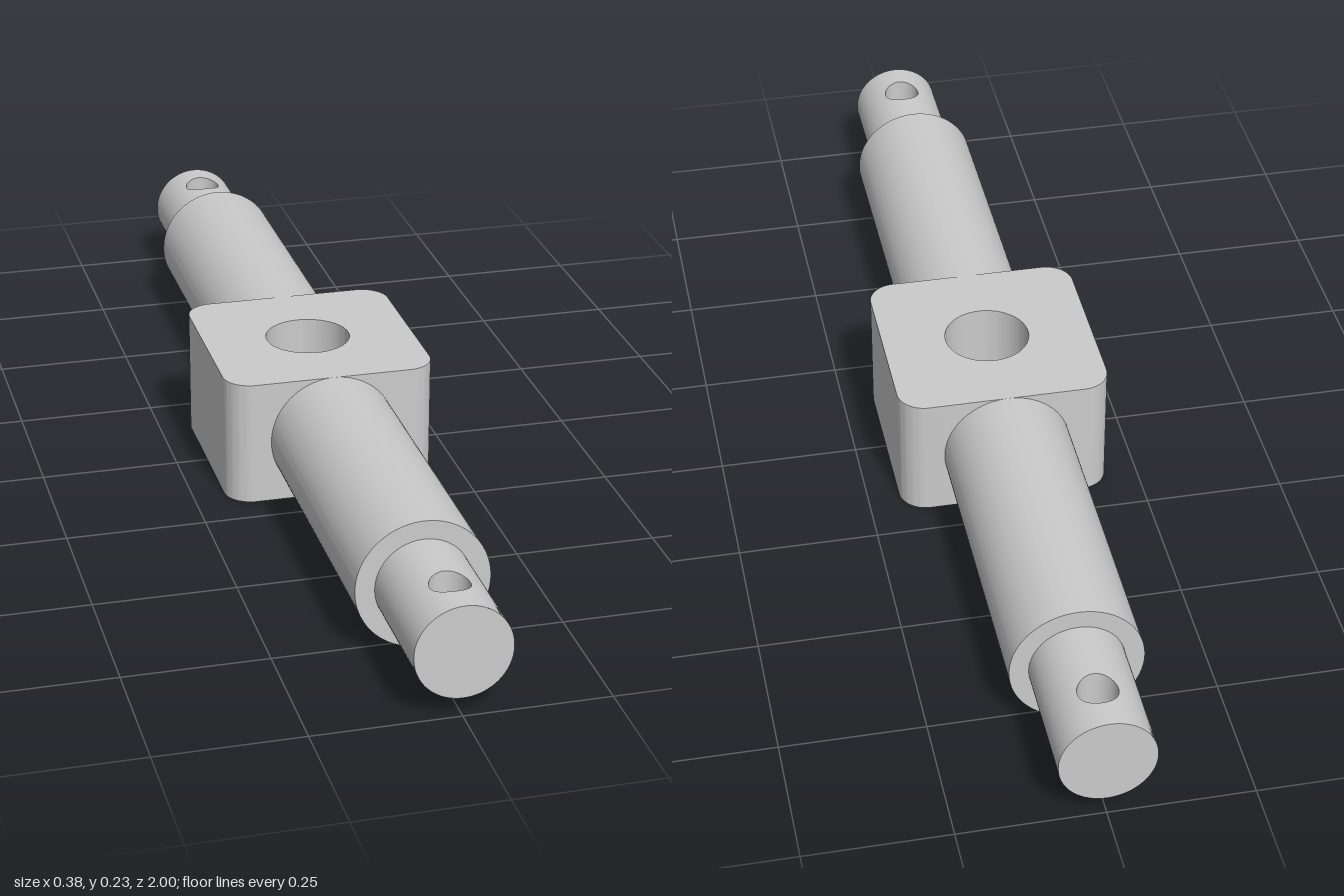
import * as THREE from 'three';
import { toCreasedNormals } from 'three/addons/utils/BufferGeometryUtils.js';
import { ParametricGeometry } from 'three/addons/geometries/ParametricGeometry.js';

const MID = 0.115;                      // height of the shaft axis
const HUB = 0.192, CORNER = 0.05, BORE = 0.077;
const SHAFT_R = 0.115, SHOULDER = 0.77;
const PIN_R = 0.082, HOLE_R = 0.034, HOLE_Z = 0.916;

export function createModel() {
  const model = new THREE.Group();
  const material = new THREE.MeshStandardMaterial({ color: 0xcccccc });
  const add = (parent, name, geometry) => {
    const mesh = new THREE.Mesh(geometry, material);
    mesh.name = name;
    parent.add(mesh);
    return mesh;
  };

  // Central block: rounded square with a vertical bore
  const s = new THREE.Shape();
  const c = HUB - CORNER;
  s.absarc(c, c, CORNER, 0, Math.PI / 2);
  s.absarc(-c, c, CORNER, Math.PI / 2, Math.PI);
  s.absarc(-c, -c, CORNER, Math.PI, Math.PI * 1.5);
  s.absarc(c, -c, CORNER, Math.PI * 1.5, Math.PI * 2);
  s.holes.push(new THREE.Path().absarc(0, 0, BORE, 0, Math.PI * 2, true));
  const block = new THREE.ExtrudeGeometry(s, { depth: MID * 2, bevelEnabled: false, curveSegments: 32 });
  block.rotateX(-Math.PI / 2);
  add(model, 'hub', toCreasedNormals(block, 0.6));

  // Shaft body with its stepped shoulder, along +z
  const profile = [[SHAFT_R, HUB - 0.01], [SHAFT_R, SHOULDER], [PIN_R - 0.005, SHOULDER]]
    .map(([r, z]) => new THREE.Vector2(r, z));
  const shaft = toCreasedNormals(new THREE.LatheGeometry(profile, 96).rotateX(Math.PI / 2), 0.6);

  // Half of the pin wall, spread from the rim of the cross hole to the pin's edges
  const midZ = (SHOULDER + 1) / 2, halfZ = (1 - SHOULDER) / 2;
  const halfWall = new ParametricGeometry((u, v, target) => {
    const a = u * Math.PI * 2, cos = Math.cos(a), sin = Math.sin(a);
    const k = 1 / Math.max(Math.abs(cos), Math.abs(sin));
    const theta = THREE.MathUtils.lerp(Math.asin(HOLE_R * cos / PIN_R), cos * k * Math.PI / 2, v);
    const z = THREE.MathUtils.lerp(HOLE_Z + HOLE_R * sin, midZ + sin * k * halfZ, v);
    target.set(PIN_R * Math.sin(theta), PIN_R * Math.cos(theta), z);
  }, 128, 14);

  // Inner wall of the cross hole, trimmed to the pin's curve
  const holeWall = new ParametricGeometry((u, v, target) => {
    const a = u * Math.PI * 2, x = HOLE_R * Math.cos(a);
    target.set(x, (2 * v - 1) * Math.sqrt(PIN_R ** 2 - x * x), HOLE_Z + HOLE_R * Math.sin(a));
  }, 128, 1);

  const cap = new THREE.CircleGeometry(PIN_R, 96).translate(0, 0, 1);

  // Two identical arms, front and back
  for (const [name, turn] of [['frontArm', 0], ['backArm', Math.PI]]) {
    const arm = new THREE.Group();
    arm.name = name;
    arm.position.y = MID;
    arm.rotation.y = turn;
    add(arm, 'shaft', shaft);
    add(arm, 'pinUpperWall', halfWall);
    add(arm, 'pinLowerWall', halfWall).rotation.z = Math.PI;
    add(arm, 'pinCrossHole', holeWall);
    add(arm, 'pinEnd', cap);
    model.add(arm);
  }
  return model;
}
